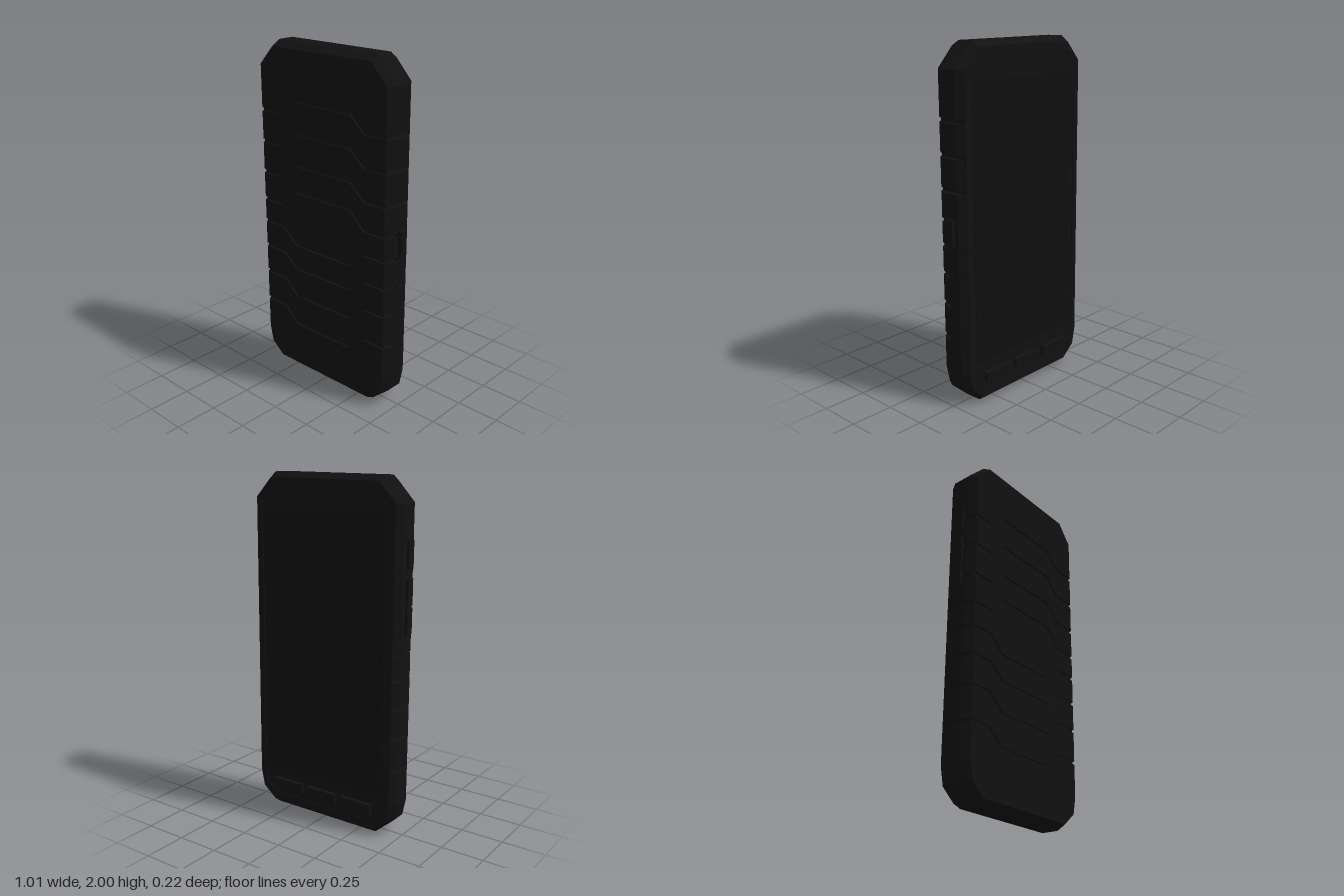
import * as THREE from 'three';

const W = 0.487; // half width
const GAP = 0.011; // half groove width
// side height and centre height of each chevron groove
const GROOVES = [
  [0.40, 0.31], [0.59, 0.50], [0.76, 0.68], [0.92, 0.83],
  [1.06, 1.16], [1.23, 1.32], [1.415, 1.505], [1.60, 1.69],
];
const BOTTOM = [[-W, 0.2], [-0.466, 0.1], [-0.35, 0], [0.35, 0], [0.466, 0.1], [W, 0.2]];
const TOP = [[-W, 1.86], [-0.355, 2], [0.355, 2], [W, 1.86]];

const black = new THREE.MeshStandardMaterial({ color: 0x111111, flatShading: true });
const glass = new THREE.MeshStandardMaterial({ color: 0x0e0e0e, flatShading: true });

// moves the rim of an outline inwards, leaving groove corners in place
const inset = ([x, y], d) => [
  Math.abs(x) > 0.46 ? x - Math.sign(x) * d : x,
  Math.min(2 - d, Math.max(d, y)),
];

// lofts a counter-clockwise outline through [z, inset] levels and caps both ends
function loft(outline, levels) {
  const rings = levels.map(([z, d]) => outline.map((p) => [...inset(p, d), z]));
  const n = outline.length, pos = [];
  for (let k = 0; k + 1 < rings.length; k++) {
    for (let i = 0; i < n; i++) {
      const j = (i + 1) % n, a = rings[k], b = rings[k + 1];
      pos.push(...a[i], ...a[j], ...b[j], ...a[i], ...b[j], ...b[i]);
    }
  }
  const cap = (ring, flip) => {
    const flat = ring.map(([x, y]) => new THREE.Vector2(x, y));
    for (const [a, b, c] of THREE.ShapeUtils.triangulateShape(flat, [])) {
      pos.push(...ring[a], ...ring[flip ? c : b], ...ring[flip ? b : c]);
    }
  };
  cap(rings[0], true);
  cap(rings[rings.length - 1], false);
  const geo = new THREE.BufferGeometry();
  geo.setAttribute('position', new THREE.Float32BufferAttribute(pos, 3));
  geo.computeVertexNormals();
  return geo;
}

const chevron = ([s, c], off) => [
  [-W, s + off], [-0.31, s + off], [-0.21, c + off],
  [0.21, c + off], [0.31, s + off], [W, s + off],
];

// square notch cut into one side, listed upwards
const notch = (side, y) => [
  [side * W, y - GAP], [side * 0.456, y - GAP], [side * 0.456, y + GAP], [side * W, y + GAP],
];

function rect(path, x0, x1, y0, y1, c) {
  path.moveTo(x0 + c, y0).lineTo(x1 - c, y0).lineTo(x1, y0 + c).lineTo(x1, y1 - c);
  path.lineTo(x1 - c, y1).lineTo(x0 + c, y1).lineTo(x0, y1 - c).lineTo(x0, y0 + c);
  path.closePath();
  return path;
}

export function createModel() {
  const body = new THREE.Group();
  body.name = 'ruggedPhone';
  const add = (name, geo, mat = black) => {
    const mesh = new THREE.Mesh(geo, mat);
    mesh.name = name;
    body.add(mesh);
    return mesh;
  };
  const box = (name, x0, x1, y0, y1, z0, z1, mat) =>
    add(name, new THREE.BoxGeometry(x1 - x0, y1 - y0, z1 - z0), mat)
      .position.set((x0 + x1) / 2, (y0 + y1) / 2, (z0 + z1) / 2);

  // screen half of the case, with through notches low on one side and high on the other
  const right = GROOVES.slice(5).flatMap(([s]) => notch(1, s));
  const left = GROOVES.slice(0, 5).flatMap(([s]) => notch(-1, s)).reverse();
  const outline = [...BOTTOM, ...right, ...[...TOP].reverse(), ...left];
  add('screenHalf', loft(outline, [[-0.08, 0.028], [-0.045, 0], [0.03, 0]]));

  // core seen at the bottom of the grooves
  add('core', loft([...BOTTOM, ...[...TOP].reverse()], [[0.0, 0.03], [0.095, 0.03]]));

  // armour plates between the chevron grooves
  for (let i = 0; i <= GROOVES.length; i++) {
    const low = i === 0 ? BOTTOM : chevron(GROOVES[i - 1], GAP);
    const high = i === GROOVES.length ? TOP : chevron(GROOVES[i], -GAP);
    add('armourPlate' + (i + 1),
      loft([...low, ...[...high].reverse()], [[0.03, 0], [0.055, 0], [0.107, 0.03]]));
  }

  // thin rim around the screen
  const rim = new THREE.Shape(
    [...BOTTOM, ...[...TOP].reverse()].map((p) => new THREE.Vector2(...inset(p, 0.03))));
  rim.holes.push(rect(new THREE.Path(), -0.42, 0.42, 0.08, 1.92, 0.08));
  add('screenRim', new THREE.ExtrudeGeometry(rim, { depth: 0.008, bevelEnabled: false }))
    .position.z = -0.086;

  // screen glass
  const screen = rect(new THREE.Shape(), -0.4, 0.4, 0.25, 1.8, 0.01);
  add('screen', new THREE.ExtrudeGeometry(screen, { depth: 0.006, bevelEnabled: false }), glass)
    .position.z = -0.083;

  // three keys under the screen, tapered outwards
  for (const x of [-0.24, 0, 0.24]) {
    const key = new THREE.BoxGeometry(0.206, 0.066, 0.03);
    const p = key.attributes.position;
    for (let i = 0; i < p.count; i++) {
      if (p.getZ(i) < 0) p.setXY(i, p.getX(i) * 0.97, p.getY(i) * 0.85);
    }
    add('frontKey', key).position.set(x, 0.15, -0.088);
  }

  // side buttons
  for (const [y0, y1] of [[1.17, 1.315], [1.325, 1.47], [1.52, 1.67]]) {
    box('rightSideButton', -0.502, -0.47, y0, y1, -0.014, 0.036);
  }
  box('leftSideButton', 0.47, 0.507, 0.93, 1.08, -0.022, 0.026);

  // slight lean about the middle
  body.children.forEach((m) => { m.position.y -= 1; });
  body.position.set(-0.003, 1, 0);
  body.rotation.x = 0.008;
  const model = new THREE.Group();
  model.name = 'phone';
  model.add(body);
  return model;
}
